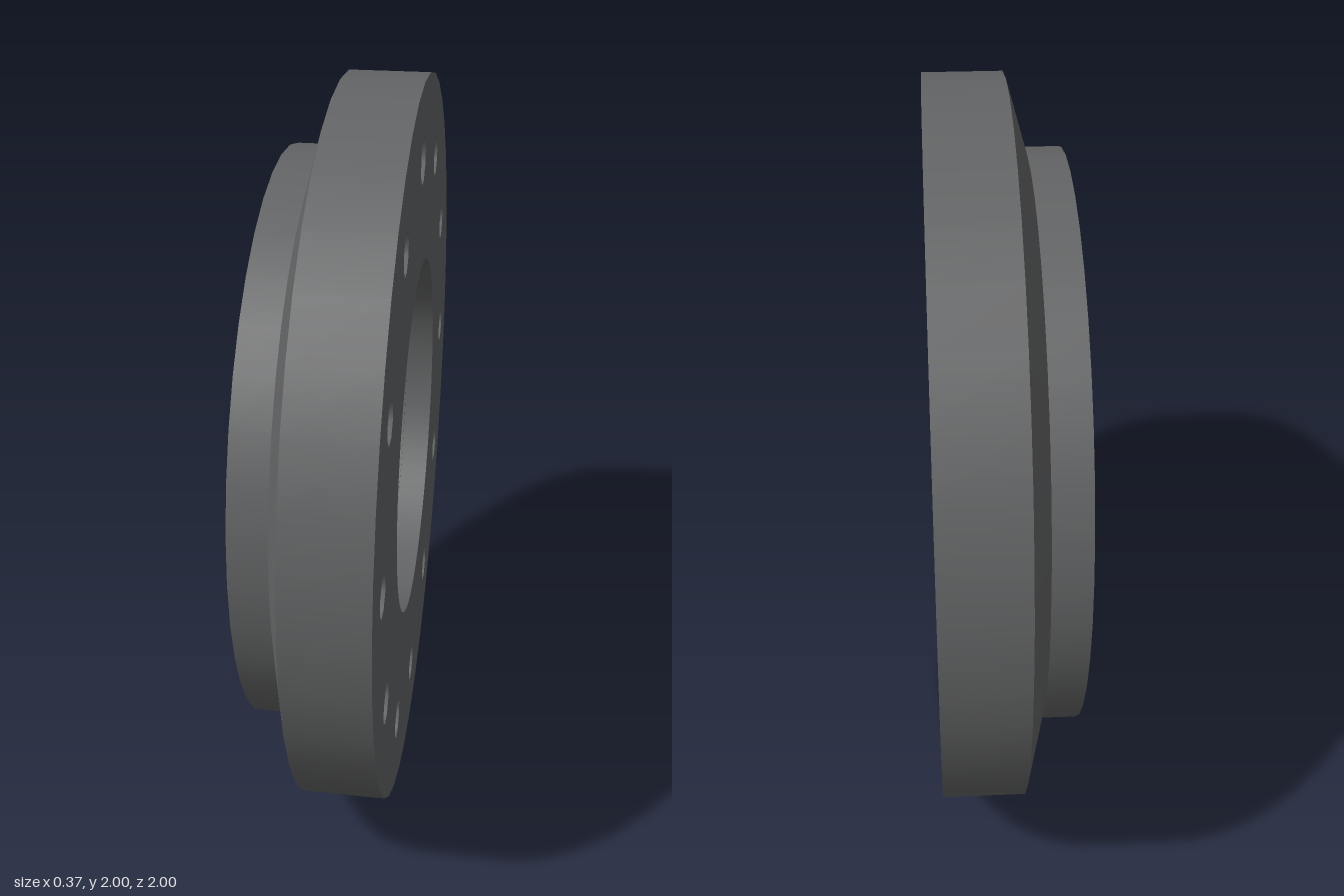
import * as THREE from 'three';
import { mergeGeometries } from 'three/addons/utils/BufferGeometryUtils.js';

const material = new THREE.MeshStandardMaterial({ color: 0x636465 });
const FACE_X = 0.185;
const HOLE_SIDES = 8;
const HOLE_TURN = Math.PI / HOLE_SIDES; // flats at the top and sides of each hole

// Revolves a profile of [radius, x] about the x axis, one band per step so its edges stay sharp
function revolve(name, profile, sides, turn = 0) {
  const bands = [];
  for (let i = 0; i < profile.length - 1; i++) {
    const pts = [profile[i], profile[i + 1]].map(([r, x]) => new THREE.Vector2(r, x));
    bands.push(new THREE.LatheGeometry(pts, sides, turn).rotateZ(-Math.PI / 2));
  }
  const mesh = new THREE.Mesh(mergeGeometries(bands), material);
  mesh.name = name;
  return mesh;
}

// Polygon whose corners line up with those of the revolved bands
function polygon(radius, sides, turn = 0, cx = 0, cy = 0) {
  return Array.from({ length: sides }, (_, i) => {
    const a = turn + (i / sides) * Math.PI * 2;
    return new THREE.Vector2(cx - radius * Math.cos(a), cy - radius * Math.sin(a));
  });
}

export function createModel() {
  const model = new THREE.Group();
  const disc = new THREE.Group();
  disc.name = 'flangeDisc';
  disc.position.y = 1;
  model.add(disc);

  // Raised back boss, bevel and rim
  disc.add(revolve('bossAndRim',
    [[0, -0.185], [0.8, -0.185], [0.8, -0.085], [1, -0.03], [1, FACE_X]], 40));

  // Central recess with a slight step in its wall
  disc.add(revolve('centralRecess',
    [[0.5, FACE_X], [0.5, 0.105], [0.496, 0.105], [0.496, 0.075], [0, 0.075]], 64));

  // Flat face, pierced by the recess and the ring of bolt holes
  const face = new THREE.Shape(polygon(1, 40));
  face.holes.push(new THREE.Path(polygon(0.5, 64)));

  for (let i = 0; i < 12; i++) {
    const a = Math.PI / 2 + (i / 12) * Math.PI * 2;
    const cx = 0.8 * Math.cos(a), cy = 0.8 * Math.sin(a);
    const radius = i === 0 ? 0.066 : 0.057; // the top hole is larger
    face.holes.push(new THREE.Path(polygon(radius, HOLE_SIDES, HOLE_TURN, cx, cy)));
    const hole = revolve('boltHole' + (i + 1),
      [[radius, FACE_X], [radius, 0.03], [0, 0.03]], HOLE_SIDES, HOLE_TURN);
    hole.position.set(0, cy, -cx);
    disc.add(hole);
  }

  const faceMesh = new THREE.Mesh(
    new THREE.ShapeGeometry(face).rotateY(Math.PI / 2).translate(FACE_X, 0, 0), material);
  faceMesh.name = 'drilledFace';
  disc.add(faceMesh);

  return model;
}
